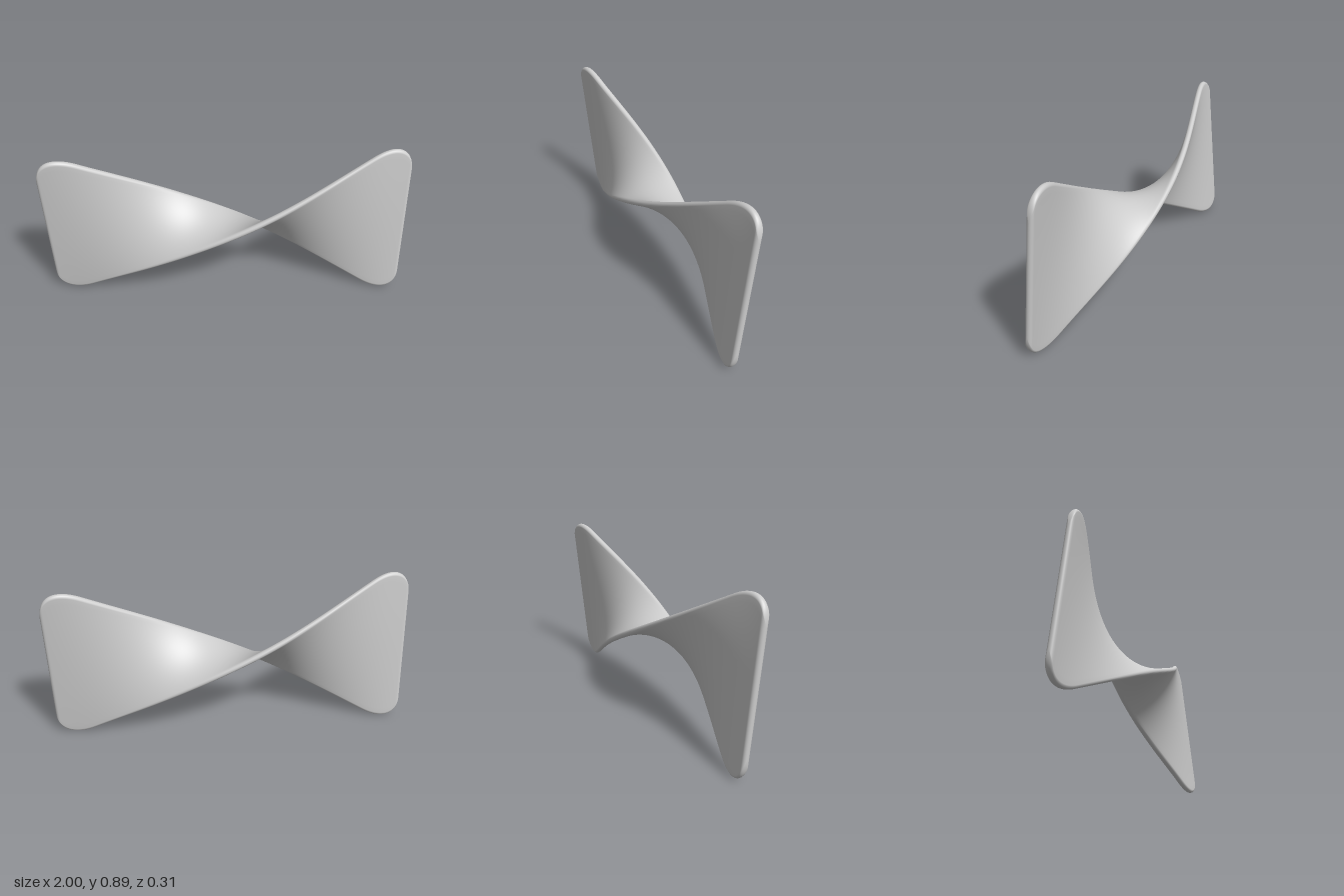
import * as THREE from 'three';
import { mergeVertices } from 'three/addons/utils/BufferGeometryUtils.js';

const THICK = 0.018;  // half thickness of the ribbon
const ROWS = 140;     // sections along the length
const FACE = 28;      // steps across each broad face
const CAP = 8;        // steps around each rounded edge

// Section at x: direction of the ribbon's edge in (y, z), half width and half thickness
function sectionAt(x) {
  const ax = Math.abs(x), x2 = x * x;
  const y = 0.525 * x;
  const z = 0.155 * (1 - 2.347 * x2 + 1.012 * x2 * x2);
  const len = Math.hypot(y, z);
  // rounded outer corners
  const t = Math.min(1, Math.max(0, (ax - 0.78) / 0.22));
  const cut = 0.22 * (1 - Math.pow(Math.max(0, 1 - Math.pow(t, 2.2)), 1 / 2.2));
  // rounded end rim
  const s = Math.min(1, Math.max(0, (ax - 1 + THICK) / THICK));
  return { dy: y / len, dz: z / len, width: len - cut, thick: THICK * Math.sqrt(1 - s * s) };
}

// Closed outline of a flat strip with round edges
function stripOutline(width, r) {
  const pts = [];
  const flat = width - r;
  for (const side of [1, -1]) {
    for (let k = 0; k < CAP; k++) {
      const a = -Math.PI / 2 + (Math.PI * k) / CAP;
      pts.push([side * (flat + r * Math.cos(a)), side * r * Math.sin(a)]);
    }
    for (let k = 0; k < FACE; k++) pts.push([side * flat * (1 - (2 * k) / FACE), side * r]);
  }
  return pts;
}

function twistedRibbon() {
  const pos = [], index = [];
  const n = 2 * (CAP + FACE);
  for (let i = 0; i <= ROWS; i++) {
    // sections crowd together towards both ends
    const x = Math.sin(Math.PI * (i / ROWS - 0.5));
    const { dy, dz, width, thick } = sectionAt(x);
    stripOutline(width, thick).forEach(([a, b], j) => {
      pos.push(x, a * dy - b * dz, a * dz + b * dy);
      if (i === ROWS) return;
      const p = i * n + j, q = i * n + ((j + 1) % n);
      index.push(p, q, p + n, q, q + n, p + n);
    });
  }
  let geo = new THREE.BufferGeometry();
  geo.setAttribute('position', new THREE.Float32BufferAttribute(pos, 3));
  geo.setIndex(index);
  geo = mergeVertices(geo, 1e-5);
  geo.computeVertexNormals();
  geo.computeBoundingBox();
  geo.translate(0, -geo.boundingBox.min.y, 0);
  return geo;
}

export function createModel() {
  const group = new THREE.Group();
  group.name = 'twistedBow';
  const ribbon = new THREE.Mesh(twistedRibbon(), new THREE.MeshStandardMaterial({ color: 0xcccccc }));
  ribbon.name = 'twistedRibbon';
  group.add(ribbon);
  return group;
}
